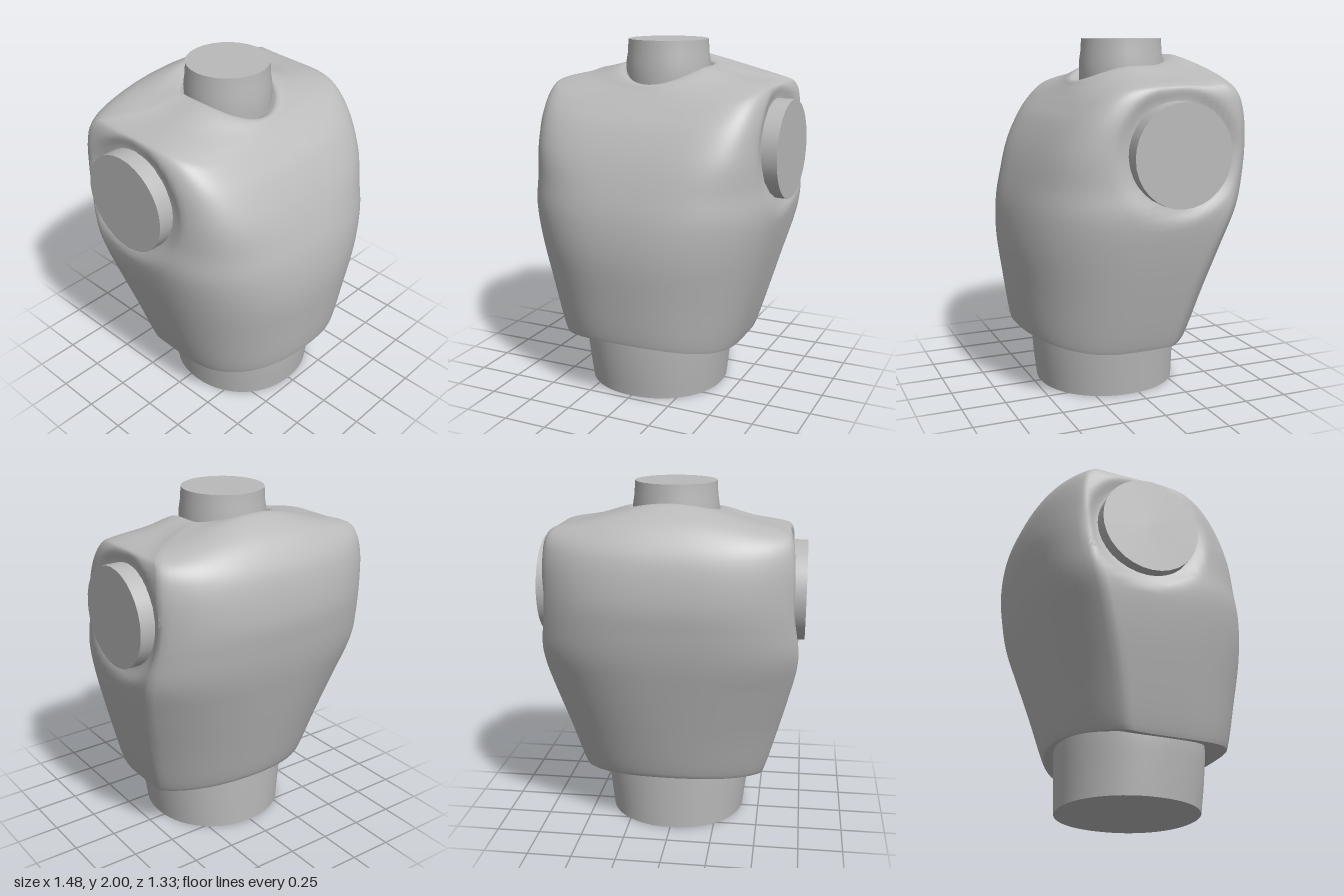
import * as THREE from 'three';
import { toCreasedNormals } from 'three/addons/utils/BufferGeometryUtils.js';

const ARM = { y: 1.405, z: -0.1, r: 0.28 };

// Rounded loft. Each ring:
// [half width, side y, front z, front y, back z, back y, front squareness, back squareness]
// backWiden spreads the back half and trims it at the half width, for broad shoulder blades
function loft(rings, { steps = 4, segs = 72, shape = null, capped = false, backWiden = 1 } = {}) {
  const curveOf = (a, b, c) => new THREE.CatmullRomCurve3(
    rings.map((r) => new THREE.Vector3(r[a], r[b], r[c])), false, 'catmullrom', 0.5);
  const side = curveOf(0, 1, 6), front = curveOf(2, 3, 6), back = curveOf(4, 5, 7);
  const rows = (rings.length - 1) * steps;
  const pos = [], idx = [];
  const p = new THREE.Vector3();
  for (let j = 0; j <= rows; j++) {
    const t = j / rows;
    const s = side.getPoint(t), f = front.getPoint(t), b = back.getPoint(t);
    const zc = (f.x + b.x) / 2, depth = (f.x - b.x) / 2;
    for (let i = 0; i < segs; i++) {
      const a = (i / segs) * Math.PI * 2, c = Math.cos(a), d = Math.sin(a);
      const [end, widen, rise] = d > 0 ? [f, 1, d * d] : [b, backWiden, Math.abs(d) ** 3];
      const u = Math.sign(c) * Math.min(1, widen * Math.abs(c) ** (2 / end.z));
      const v = Math.sign(d) * Math.abs(d) ** (2 / end.z);
      p.set(s.x * u, s.y + (end.y - s.y) * rise, zc + depth * v);
      if (shape) shape(p);
      pos.push(p.x, p.y, p.z);
    }
  }
  for (let j = 0; j < rows; j++) {
    for (let i = 0; i < segs; i++) {
      const k = (i + 1) % segs;
      const a = j * segs + i, b = j * segs + k, c = a + segs, d = b + segs;
      idx.push(a, c, b, b, c, d);
    }
  }
  if (capped) { // close the bottom ring
    const r = rings[0], centre = pos.length / 3;
    pos.push(0, r[1], (r[2] + r[4]) / 2);
    for (let i = 0; i < segs; i++) idx.push(centre, i, (i + 1) % segs);
  }
  const g = new THREE.BufferGeometry();
  g.setAttribute('position', new THREE.Float32BufferAttribute(pos, 3));
  g.setIndex(idx);
  return toCreasedNormals(g, 0.8);
}

// Shallow socket pressed into the garment around each arm
function armSocket(p) {
  if (Math.abs(p.x) < 0.5) return;
  const d = Math.hypot(p.y - ARM.y, p.z - ARM.z);
  const k = 1 - THREE.MathUtils.smoothstep(d, 0.28, 0.37);
  p.x -= Math.sign(p.x) * 0.03 * k;
}

export function createModel() {
  const model = new THREE.Group();
  model.name = 'torso';
  const grey = new THREE.MeshStandardMaterial({ color: 0xbababa });
  grey.name = 'grey';
  const add = (name, geometry) => {
    const mesh = new THREE.Mesh(geometry, grey);
    mesh.name = name;
    model.add(mesh);
    return mesh;
  };

  // Chest and shoulders, from inside the hem up to the neckline
  add('chest', loft([
    [0.4, 0.325, 0.47, 0.395, -0.33, 0.375, 2.3, 2],
    [0.505, 0.3, 0.585, 0.375, -0.385, 0.352, 2.3, 2],
    [0.533, 0.32, 0.61, 0.395, -0.412, 0.37, 2.3, 2],
    [0.61, 0.6, 0.643, 0.62, -0.487, 0.62, 2.3, 2.1],
    [0.678, 0.88, 0.668, 0.86, -0.567, 0.9, 2.4, 2.3],
    [0.71, 1.08, 0.655, 1.06, -0.62, 1.1, 2.6, 2.5],
    [0.695, 1.25, 0.61, 1.23, -0.65, 1.27, 3, 2.6],
    [0.682, 1.45, 0.54, 1.4, -0.665, 1.42, 3.8, 2.6],
    [0.675, 1.62, 0.45, 1.55, -0.645, 1.6, 4.2, 2.6],
    [0.657, 1.735, 0.37, 1.64, -0.6, 1.72, 4, 2.5],
    [0.61, 1.77, 0.32, 1.69, -0.51, 1.83, 3.3, 2.3],
    [0.44, 1.802, 0.275, 1.735, -0.37, 1.905, 2.4, 2],
    [0.265, 1.852, 0.24, 1.765, -0.3, 1.895, 2, 2],
    [0.23, 1.83, 0.18, 1.74, -0.27, 1.87, 2, 2],
  ], { steps: 5, segs: 96, shape: armSocket, backWiden: 1.17 }));

  // Waist stump
  add('waist', loft([
    [0.4, 0, 0.462, 0, -0.345, 0, 2.1, 2.1],
    [0.42, 0.16, 0.48, 0.16, -0.348, 0.16, 2.1, 2.1],
    [0.437, 0.31, 0.49, 0.32, -0.35, 0.32, 2.1, 2.1],
    [0.437, 0.42, 0.49, 0.46, -0.35, 0.44, 2.1, 2.1],
  ], { capped: true }));

  // Neck stump, flaring slightly at the collar
  const neck = add('neck', toCreasedNormals(new THREE.LatheGeometry([
    [0.24, 1.7], [0.243, 1.78], [0.243, 1.87], [0.235, 1.92], [0.23, 2], [0, 2],
  ].map(([r, y]) => new THREE.Vector2(r, y)), 28), 0.7));
  neck.position.z = -0.053;

  // Arm stumps
  for (const [name, s] of [['leftArm', 1], ['rightArm', -1]]) {
    const arm = add(name, new THREE.CylinderGeometry(ARM.r, ARM.r, 0.14, 32));
    arm.rotation.z = -s * Math.PI / 2;
    arm.position.set(s * 0.67, ARM.y, ARM.z);
  }
  return model;
}
